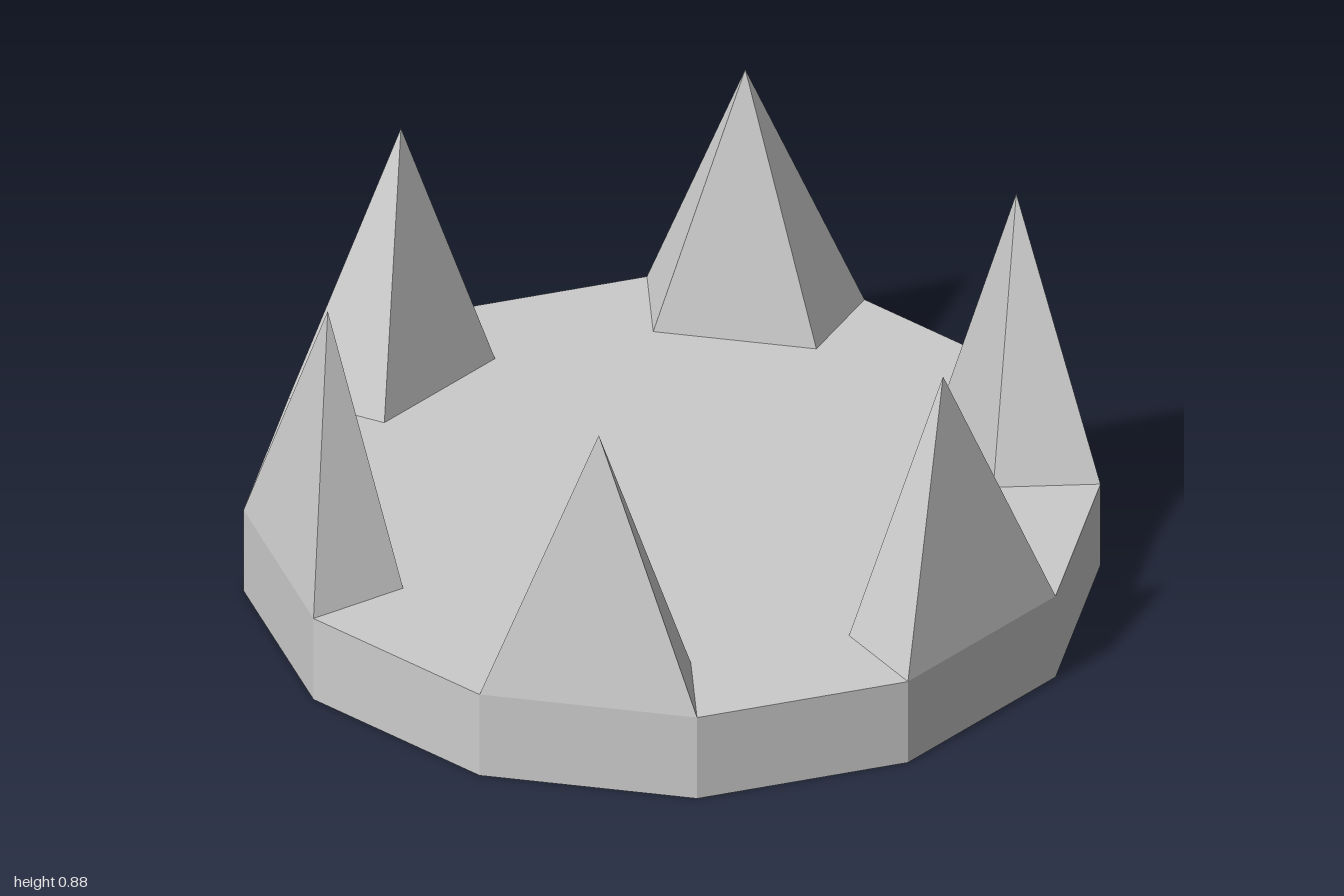
import * as THREE from 'three';

const SIDES = 12, RADIUS = 1, INNER = 0.75, BASE_TOP = 0.22, TIP = 0.885;
const STEP = (Math.PI * 2) / SIDES;

// point at a given angle around y, measured from the front
const polar = (angle, radius, y) => [Math.sin(angle) * radius, y, Math.cos(angle) * radius];

// four-sided spike standing on one edge of the base
function spikeGeometry() {
  const foot = [
    polar(0, RADIUS, BASE_TOP),
    polar(STEP, RADIUS, BASE_TOP),
    polar(STEP, INNER, BASE_TOP),
    polar(0, INNER, BASE_TOP),
  ];
  // tip sits above the middle of the foot
  const tip = [0, 2].map((k) => foot.reduce((sum, p) => sum + p[k], 0) / 4);
  const positions = [];
  foot.forEach((p, i) => positions.push(...p, ...foot[(i + 1) % 4], tip[0], TIP, tip[1]));
  const geometry = new THREE.BufferGeometry();
  geometry.setAttribute('position', new THREE.Float32BufferAttribute(positions, 3));
  geometry.computeVertexNormals();
  return geometry;
}

export function createModel() {
  const model = new THREE.Group();
  model.name = 'spikedCrown';
  const material = new THREE.MeshStandardMaterial({ color: 0xcccccc, flatShading: true });

  // twelve-sided solid base
  const base = new THREE.Mesh(new THREE.CylinderGeometry(RADIUS, RADIUS, BASE_TOP, SIDES), material);
  base.name = 'base';
  base.position.y = BASE_TOP / 2;
  model.add(base);

  // a spike on every other edge
  const geometry = spikeGeometry();
  for (let i = 0; i < SIDES / 2; i++) {
    const spike = new THREE.Mesh(geometry, material);
    spike.name = `spike${i + 1}`;
    spike.rotation.y = i * 2 * STEP;
    model.add(spike);
  }
  return model;
}
